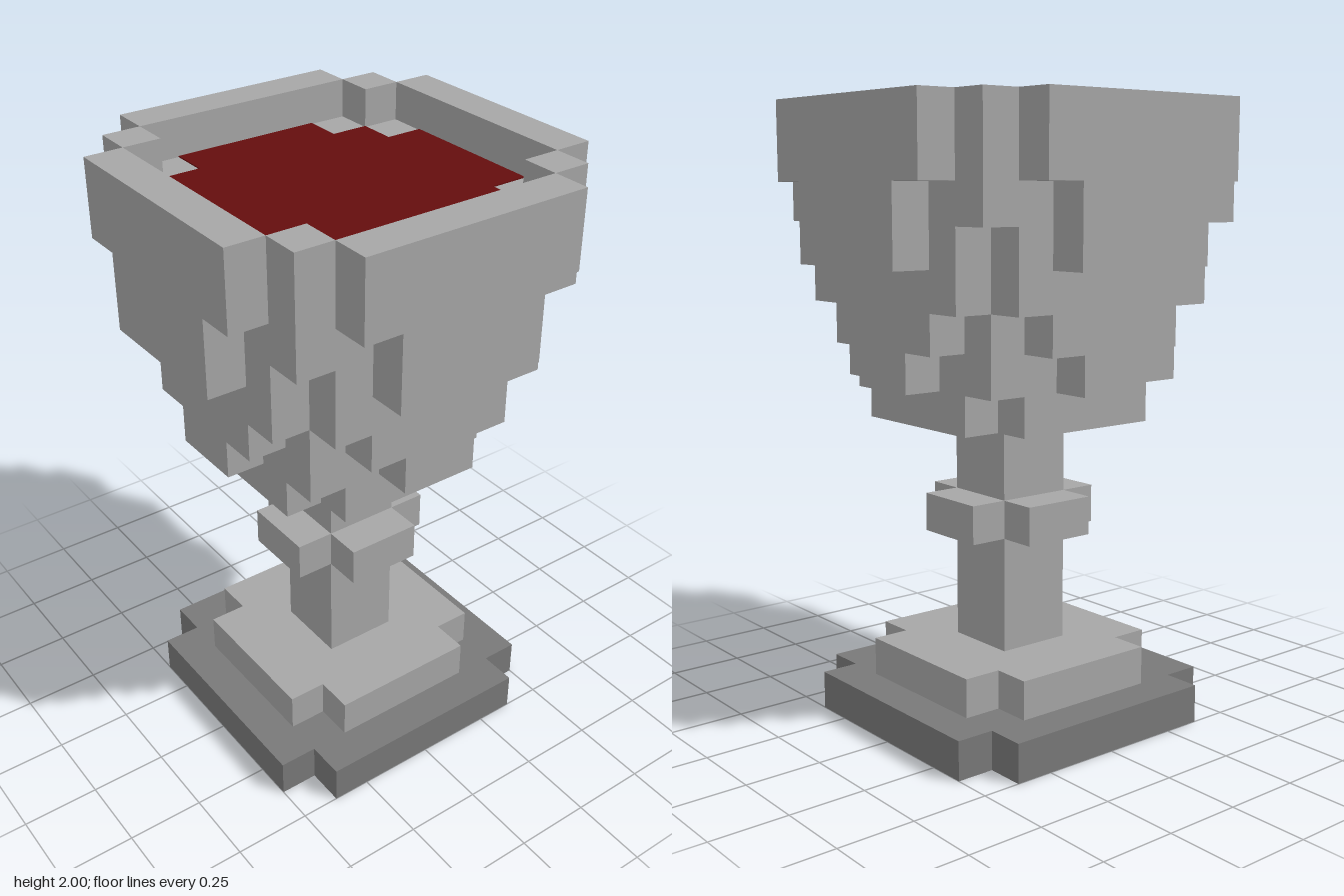
import * as THREE from 'three';

const U = 0.125; // one block

const stone = new THREE.MeshStandardMaterial({ color: 0xa6a6a6 });
stone.name = 'stone grey';
const darkStone = new THREE.MeshStandardMaterial({ color: 0x787878 });
darkStone.name = 'dark stone grey';
const wine = new THREE.MeshStandardMaterial({ color: 0x640d0d });
wine.name = 'deep red';

// Stepped slab: steps are the outer corners [x, z] of one quadrant, in blocks,
// repeated around the axis by quarter turns.
function slab(name, material, y, height, steps) {
  const quarter = [];
  steps.forEach(([x, z], i) => {
    if (i > 0) quarter.push([x, steps[i - 1][1]]);
    quarter.push([x, z]);
  });
  const points = [];
  for (let turn = 0; turn < 4; turn++) {
    for (const [x, z] of quarter) {
      const p = new THREE.Vector2(x * U, z * U);
      for (let k = 0; k < turn; k++) p.set(-p.y, p.x);
      points.push(p);
    }
  }
  const geometry = new THREE.ExtrudeGeometry(new THREE.Shape(points), {
    depth: height * U, bevelEnabled: false,
  });
  geometry.rotateX(-Math.PI / 2);
  const mesh = new THREE.Mesh(geometry, material);
  mesh.name = name;
  mesh.position.y = y * U;
  return mesh;
}

export function createModel() {
  const goblet = new THREE.Group();
  goblet.name = 'goblet';

  // Foot and stem
  goblet.add(
    slab('footPlate', darkStone, 0, 1, [[4, 3], [3, 4]]),
    slab('footStep', stone, 1, 1, [[3, 2], [2, 3]]),
    slab('stem', stone, 2, 6, [[1, 1]]),
    slab('stemKnob', stone, 5, 1, [[2, 1], [1, 2]]),
  );

  // Bowl, one stepped layer at a time from the bottom up
  const bowl = new THREE.Group();
  bowl.name = 'bowl';
  const layers = [
    [[3, 2], [2, 3]],
    [[4, 1], [3, 3], [1, 4]],
    [[4, 2], [3, 3], [2, 4]],
    [[4, 3], [3, 4]],
    [[5, 2], [4, 3], [3, 4], [2, 5]],
    [[5, 2], [4, 4], [2, 5]],
    [[5, 3], [4, 4], [3, 5]],
  ];
  layers.forEach((steps, i) => bowl.add(slab('bowlLayer' + (i + 1), stone, 8 + i, 1, steps)));
  goblet.add(bowl);

  // Rim: a wall on each side and a post at each corner
  const rim = new THREE.Group();
  rim.name = 'rim';
  for (let i = 0; i < 4; i++) {
    const side = new THREE.Group();
    side.name = 'rimSide' + (i + 1);
    const wall = new THREE.Mesh(new THREE.BoxGeometry(6 * U, U, U), stone);
    wall.name = 'rimWall';
    wall.position.set(0, 15.5 * U, 4.5 * U);
    const post = new THREE.Mesh(new THREE.BoxGeometry(U, U, U), stone);
    post.name = 'rimPost';
    post.position.set(3.5 * U, 15.5 * U, 3.5 * U);
    side.add(wall, post);
    side.rotation.y = i * Math.PI / 2;
    rim.add(side);
  }
  goblet.add(rim);

  // Drink surface inside the rim
  goblet.add(slab('drink', wine, 15, 0.03, [[4, 2], [3, 3], [2, 4]]));

  return goblet;
}
